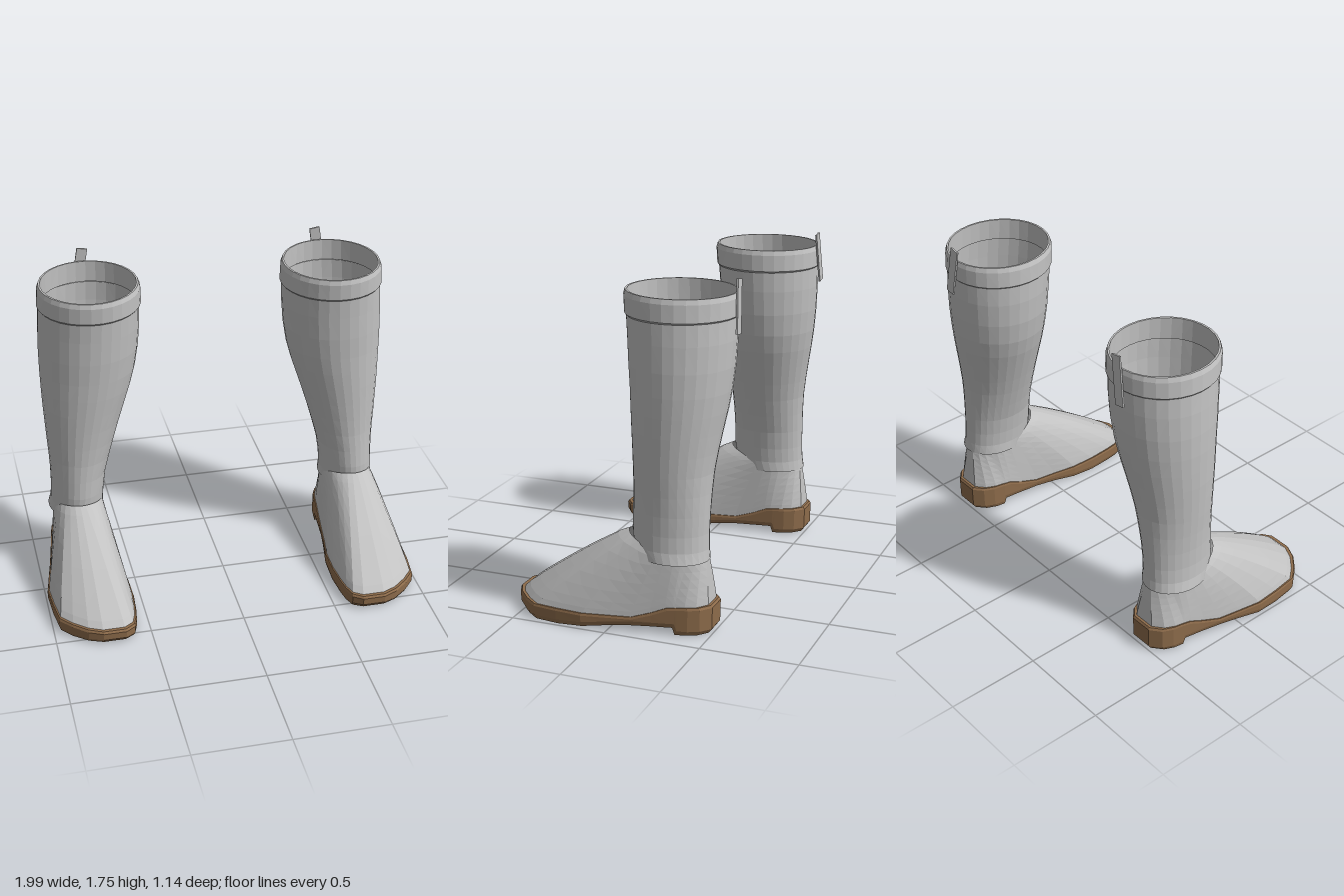
import * as THREE from 'three';

const leather = new THREE.MeshStandardMaterial({ name: 'greyLeather', color: 0xc2c2c2, flatShading: true, side: THREE.DoubleSide });
const soleBrown = new THREE.MeshStandardMaterial({ name: 'brownSole', color: 0x8f6d4c, flatShading: true });

// Sole outline from toe to heel: z, inner x, outer x
const OUTLINE = [
  [0.57, 0.64, 0.76], [0.535, 0.59, 0.835], [0.47, 0.57, 0.91], [0.40, 0.56, 0.968],
  [0.27, 0.55, 0.985], [0.13, 0.553, 0.995], [0.0, 0.577, 0.972], [-0.12, 0.595, 0.95],
  [-0.22, 0.605, 0.93], [-0.30, 0.612, 0.917], [-0.335, 0.615, 0.911], [-0.347, 0.617, 0.909],
  [-0.40, 0.625, 0.90], [-0.455, 0.65, 0.875], [-0.50, 0.70, 0.82],
];
const N = OUTLINE.length * 2;

// Heights along z (front to back)
const SOLE_TOP = [[-0.14, 0.08], [-0.18, 0.09], [-0.23, 0.115], [-0.30, 0.142], [-0.36, 0.148], [-0.5, 0.15]];
const SOLE_BOTTOM = [[0.57, 0.008], [0.5, 0], [0.22, 0], [-0.07, 0.035], [-0.335, 0.04], [-0.347, 0.004], [-0.5, 0.004]];
const COLLAR = [[-0.05, 0.475], [-0.13, 0.45], [-0.2, 0.42], [-0.46, 0.40]];

// Shaft and cuff rings: y, inner x, outer x, back z, front z
const SHAFT = [
  [0.365, 0.62, 0.918, -0.463, -0.10], [0.42, 0.622, 0.905, -0.457, -0.07],
  [0.50, 0.615, 0.90, -0.455, -0.064], [0.60, 0.60, 0.90, -0.457, -0.065],
  [0.70, 0.573, 0.904, -0.46, -0.065], [0.80, 0.544, 0.91, -0.466, -0.06],
  [0.90, 0.513, 0.915, -0.48, -0.053], [1.00, 0.48, 0.92, -0.497, -0.045],
  [1.10, 0.447, 0.923, -0.515, -0.037], [1.20, 0.42, 0.925, -0.53, -0.03],
  [1.32, 0.40, 0.925, -0.542, -0.02], [1.45, 0.39, 0.92, -0.548, -0.012],
  [1.57, 0.388, 0.912, -0.548, -0.003],
];
const CUFF = [
  [1.555, 0.388, 0.912, -0.546, -0.004], [1.565, 0.378, 0.92, -0.556, 0.005],
  [1.65, 0.381, 0.914, -0.555, 0.01], [1.675, 0.39, 0.905, -0.548, 0.003],
  [1.675, 0.40, 0.895, -0.54, -0.007], [1.56, 0.40, 0.90, -0.54, -0.012],
];

function interp(table, z) {
  if (z >= table[0][0]) return table[0][1];
  for (let i = 1; i < table.length; i++) {
    const [z0, y0] = table[i - 1], [z1, y1] = table[i];
    if (z >= z1) return y0 + (y1 - y0) * (z0 - z) / (z0 - z1);
  }
  return table[table.length - 1][1];
}

// Closed ring around the sole, scaled about its middle, height given by z
function outlineRing(scale, heightAt) {
  const point = (x, z) => new THREE.Vector3(0.765 + (x - 0.765) * scale, heightAt(z), 0.03 + (z - 0.03) * scale);
  const outer = OUTLINE.map(([z, , xo]) => point(xo, z));
  const inner = OUTLINE.map(([z, xi]) => point(xi, z)).reverse();
  return [...outer, ...inner];
}

function ellipseRing([y, x0, x1, z0, z1], count = 30) {
  return Array.from({ length: count }, (_, i) => {
    const a = (i + 0.5) / count * Math.PI * 2;
    return new THREE.Vector3((x0 + x1) / 2 + Math.sin(a) * (x1 - x0) / 2, y, (z0 + z1) / 2 + Math.cos(a) * (z1 - z0) / 2);
  });
}

// Skin a stack of rings; caps run in strips across the ring
function loft(rings, capped = false) {
  const n = rings[0].length, index = [];
  const quad = (a, b, c, d) => index.push(a, b, d, b, c, d);
  for (let j = 0; j < rings.length - 1; j++) {
    for (let i = 0; i < n; i++) {
      const k = (i + 1) % n;
      quad(j * n + i, j * n + k, (j + 1) * n + k, (j + 1) * n + i);
    }
  }
  if (capped) {
    const top = (rings.length - 1) * n;
    for (let i = 0; i < n / 2 - 1; i++) {
      quad(top + i, top + i + 1, top + n - 2 - i, top + n - 1 - i);
      quad(n - 1 - i, n - 2 - i, i + 1, i);
    }
  }
  const geometry = new THREE.BufferGeometry().setFromPoints(rings.flat());
  geometry.setIndex(index);
  geometry.computeVertexNormals();
  return geometry;
}

function addPart(group, name, geometry, material) {
  const mesh = new THREE.Mesh(geometry, material);
  mesh.name = name;
  group.add(mesh);
  return mesh;
}

function createBoot() {
  const boot = new THREE.Group();
  const top = z => interp(SOLE_TOP, z);
  const bottom = z => interp(SOLE_BOTTOM, z);

  // Sole with raised heel block
  addPart(boot, 'sole', loft([
    outlineRing(0.965, bottom),
    outlineRing(0.995, z => bottom(z) + 0.022),
    outlineRing(1, z => top(z) - 0.012),
    outlineRing(0.985, top),
  ], true), soleBrown);

  // Foot upper, swept from the sole edge to the sloping ankle collar
  const base = outlineRing(0.96, z => top(z) - 0.004);
  const collar = ellipseRing([0, 0.63, 0.89, -0.45, -0.045], N);
  collar.forEach(p => { p.y = interp(COLLAR, p.z); });
  const rows = [0, 0.06, 0.16, 0.3, 0.45, 0.6, 0.75, 0.9, 1].map(t => base.map((p, i) => {
    const q = p.clone().lerp(collar[i], t);
    q.y += 0.022 * Math.sqrt(Math.max(0, Math.sin(Math.PI * t)));
    return q;
  }));
  addPart(boot, 'footUpper', loft(rows), leather);

  // Shaft and folded cuff
  addPart(boot, 'shaft', loft(SHAFT.map(r => ellipseRing(r))), leather);
  addPart(boot, 'cuff', loft(CUFF.map(r => ellipseRing(r))), leather);

  // Pull tab at the back
  const tab = addPart(boot, 'pullTab', new THREE.BoxGeometry(0.056, 0.262, 0.009), leather);
  tab.position.set(0.655, 1.612, -0.563);
  tab.rotation.set(0.05, 0, 0.16);
  return boot;
}

export function createModel() {
  const model = new THREE.Group();
  model.name = 'pairOfBoots';
  const left = createBoot();
  left.name = 'leftBoot';
  const right = createBoot();
  right.name = 'rightBoot';
  right.scale.x = -1;
  model.add(left, right);
  return model;
}
